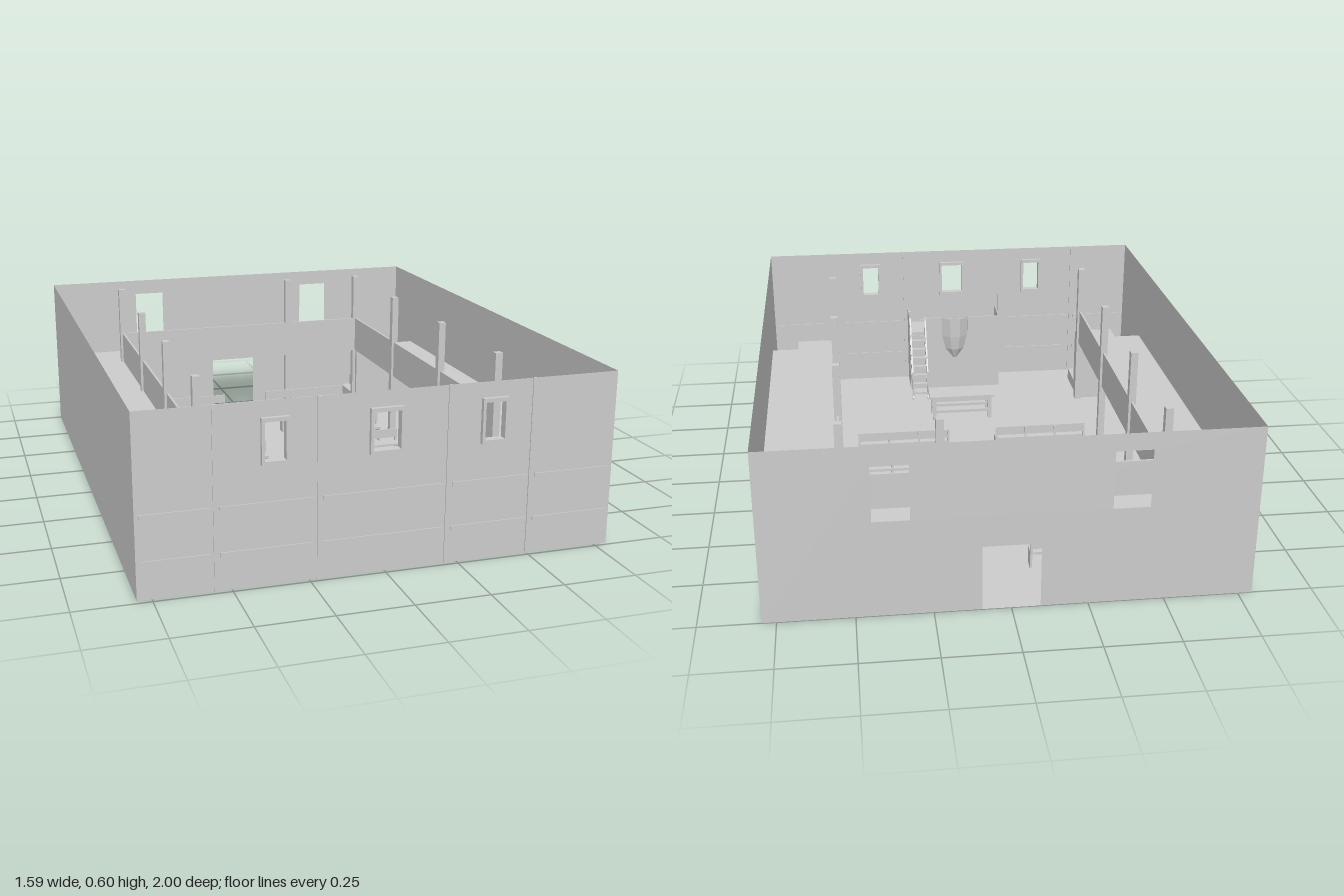
import * as THREE from 'three';

export function createModel() {
  const model = new THREE.Group();
  const mat = new THREE.MeshStandardMaterial({ color: 0xcccccc, flatShading: true, side: THREE.DoubleSide });

  const add = (name, geo, parent = model) => {
    const m = new THREE.Mesh(geo, mat);
    m.name = name;
    parent.add(m);
    return m;
  };
  // box given by its limits on each axis
  const box = (name, x0, x1, y0, y1, z0, z1, parent = model) => {
    const g = new THREE.BoxGeometry(Math.abs(x1 - x0), y1 - y0, z1 - z0);
    g.translate((x0 + x1) / 2, (y0 + y1) / 2, (z0 + z1) / 2);
    return add(name, g, parent);
  };
  const group = (name) => {
    const g = new THREE.Group();
    g.name = name;
    model.add(g);
    return g;
  };
  const rect = (T, x0, x1, y0, y1) =>
    new T([[x0, y0], [x1, y0], [x1, y1], [x0, y1]].map(([x, y]) => new THREE.Vector2(x, y)));

  const H = 0.6, FRONT = 0.985, BACK = -1, W = 0.797;

  // floor and plain side walls
  const floor = new THREE.PlaneGeometry(2 * W, FRONT - BACK).rotateX(-Math.PI / 2);
  add('floor', floor.translate(0, 0, (FRONT + BACK) / 2));
  for (const s of [-1, 1]) {
    const wall = new THREE.PlaneGeometry(FRONT - BACK, H).rotateY(s * Math.PI / 2);
    add('sideWall', wall.translate(s * W, H / 2, (FRONT + BACK) / 2));
  }

  // back wall with two windows and a doorway, which is cut into the outline
  const backShape = new THREE.Shape([
    [-W, 0], [-0.095, 0], [-0.095, 0.23], [0.095, 0.23], [0.095, 0], [W, 0], [W, H], [-W, H],
  ].map(([x, y]) => new THREE.Vector2(x, y)));
  for (const s of [-1, 1]) backShape.holes.push(rect(THREE.Path, s * 0.38 - 0.06, s * 0.38 + 0.06, 0.34, 0.54));
  add('backWall', new THREE.ShapeGeometry(backShape).translate(0, 0, BACK));

  // front wall with three framed windows
  const frontShape = rect(THREE.Shape, -W, W, 0, H);
  const windows = [[-0.362, 0.034], [-0.002, 0.045], [0.362, 0.034]];
  for (const [x, w] of windows) {
    frontShape.holes.push(rect(THREE.Path, x - w, x + w, 0.41, 0.535));
    const frame = rect(THREE.Shape, x - w - 0.01, x + w + 0.01, 0.398, 0.548);
    frame.holes.push(rect(THREE.Path, x - w, x + w, 0.41, 0.535));
    add('windowFrame', new THREE.ExtrudeGeometry(frame, { depth: 0.03, bevelEnabled: false }).translate(0, 0, 0.97));
  }
  add('frontWall', new THREE.ShapeGeometry(frontShape).translate(0, 0, FRONT));

  // thin timber strips on both faces of the front wall
  const seams = [-W, -0.55, -0.22, 0.21, 0.5, W];
  for (let i = 0; i < 5; i++) {
    if (i) box('wallStud', seams[i] - 0.006, seams[i] + 0.006, 0, H, FRONT - 0.004, FRONT + 0.004);
    for (const y of [0.12, 0.27])
      box('wallRail', seams[i] + 0.015, seams[i + 1] - 0.015, y - 0.007, y + 0.007, FRONT - 0.004, FRONT + 0.004);
  }

  // gallery floor along the sides and back, open above the stairs
  const half = [[0.53, -0.81], [0.53, 0.745], [0.69, 0.745], [0.69, 0.65], [W, 0.65], [W, -0.8],
    [0.69, -0.8], [0.69, -0.87], [0.645, -0.87], [0.645, BACK]];
  const outline = [...half, ...half.map(([x, z]) => [-x, z]).reverse()];
  const galleryShape = new THREE.Shape(outline.map(([x, z]) => new THREE.Vector2(x, z)));
  const gallery = new THREE.ExtrudeGeometry(galleryShape, { depth: 0.025, bevelEnabled: false });
  add('galleryFloor', gallery.rotateX(Math.PI / 2).translate(0, 0.285, 0));

  // gallery parapet and posts
  box('backParapet', -0.53, 0.53, 0.265, 0.41, -0.814, -0.806);
  for (const s of [-1, 1]) {
    box('sideParapet', s * 0.526, s * 0.534, 0.265, 0.41, -0.814, 0.65);
    for (const z of [-0.82, -0.33, 0.16, 0.65])
      box('galleryPost', s * 0.53 - 0.013, s * 0.53 + 0.013, 0, H, z - 0.013, z + 0.013);
  }
  box('galleryPost', 0.197, 0.223, 0, H, -0.833, -0.807);

  // four corner stairs: a flight to the wall, a landing, then a flight to the gallery
  const cornerStair = (s, z0, z1, dir) => {
    const g = group('cornerStair');
    const rise = 0.0475;
    for (let i = 0; i < 3; i++)
      box('lowerStep', s * (0.53 + 0.04 * i), s * (0.57 + 0.04 * i), 0, rise * (i + 1), z0, z1, g);
    box('landing', s * 0.65, s * W, 0, rise * 4, z0, z1, g);
    const start = dir < 0 ? z0 : z1, run = dir < 0 ? 0.032 : 0.024;
    for (let i = 0; i < 3; i++) {
      const a = start + dir * run * i, b = a + dir * run;
      box('upperStep', s * 0.69, s * W, 0, 0.19 + 0.024 * (i + 1), Math.min(a, b), Math.max(a, b), g);
    }
    const end = start + dir * (dir < 0 ? 0.095 : 0.08);
    box('stairCupboard', s * 0.53, s * 0.69, 0, 0.27, Math.min(start, end), Math.max(start, end), g);
  };
  for (const s of [-1, 1]) {
    cornerStair(s, 0.745, 0.88, -1);
    cornerStair(s, BACK + 0.001, -0.87, 1);
  }

  // two columns of five benches
  for (const x0 of [-0.46, 0.092]) {
    for (let r = 0; r < 5; r++) {
      const g = group('bench');
      const z = -0.77 + 0.2275 * r, x1 = x0 + 0.364;
      box('benchSeat', x0, x1, 0.053, 0.062, z, z + 0.05, g);
      box('benchBack', x0, x1, 0.075, 0.11, z, z + 0.006, g);
      for (let i = 0; i < 4; i++) {
        const x = x0 + 0.004 + i * 0.1187;
        box('benchLeg', x - 0.004, x + 0.004, 0, 0.053, z + 0.004, z + 0.046, g);
        box('benchUpright', x - 0.004, x + 0.004, 0.055, 0.105, z - 0.003, z + 0.004, g);
      }
    }
  }

  // table with legs and stretchers
  const table = group('table');
  box('tableTop', -0.135, 0.142, 0.1, 0.11, 0.47, 0.573, table);
  for (const z of [0.487, 0.556]) {
    for (const x of [-0.115, 0.122]) box('tableLeg', x - 0.007, x + 0.007, 0, 0.1, z - 0.007, z + 0.007, table);
    box('tableStretcher', -0.115, 0.122, 0.03, 0.042, z - 0.004, z + 0.004, table);
    box('tableApron', -0.115, 0.122, 0.082, 0.1, z - 0.004, z + 0.004, table);
  }
  for (const x of [-0.115, 0.122]) box('tableStretcher', x - 0.004, x + 0.004, 0.03, 0.042, 0.487, 0.556, table);

  // pulpit platform with its front panels and side panels
  const pulpit = group('pulpit');
  box('platform', -0.2, 0.2, 0.255, 0.27, 0.842, FRONT, pulpit);
  box('panelRight', -0.2, -0.058, 0, 0.335, 0.838, 0.844, pulpit);
  box('panelMiddle', -0.058, 0.055, 0, 0.255, 0.838, 0.844, pulpit);
  box('panelLeft', 0.055, 0.13, 0, 0.335, 0.838, 0.844, pulpit);
  box('panelBelowStair', 0.13, 0.2, 0, 0.255, 0.838, 0.844, pulpit);
  for (const x of [-0.2, 0.197]) box('sidePanel', x, x + 0.003, 0, 0.335, 0.842, FRONT, pulpit);

  // tapering half-hexagon bay: rings of four points from top to bottom
  const pos = [], idx = [];
  [[0.335, 1], [0.25, 0.95], [0.19, 0.7], [0.145, 0.1]].forEach(([y, k], r) => {
    [[-0.058, 0], [-0.022, 0.028], [0.022, 0.028], [0.058, 0]].forEach(([x, d], c) => {
      pos.push(x * k, y, 0.838 - d * k);
      if (r < 3 && c < 3) {
        const a = r * 4 + c;
        idx.push(a, a + 1, a + 4, a + 1, a + 5, a + 4);
      }
    });
  });
  const bay = new THREE.BufferGeometry();
  bay.setAttribute('position', new THREE.Float32BufferAttribute(pos, 3));
  bay.setIndex(idx);
  bay.computeVertexNormals();
  add('pulpitBay', bay, pulpit);

  // steep pulpit stair with balusters and sloping rails
  const N = 7, run = 0.13 / N, rise = 0.27 / (N + 1);
  for (let i = 0; i < N; i++) {
    const z = 0.71 + run * i, y = rise * (i + 1);
    box('pulpitStep', 0.13, 0.2, y - 0.008, y, z, z + run, pulpit);
    for (const x of [0.132, 0.198])
      box('baluster', x - 0.002, x + 0.002, y, y + 0.085, z + run / 2 - 0.002, z + run / 2 + 0.002, pulpit);
  }
  const slope = Math.atan2(0.27 - rise, 0.13);
  for (const x of [0.132, 0.198]) {
    for (const [name, y, t] of [['handrail', 0.222, 0.008], ['stringer', 0.122, 0.022]]) {
      const bar = add(name, new THREE.BoxGeometry(0.006, t, 0.265), pulpit);
      bar.position.set(x, y, 0.775);
      bar.rotation.x = -slope;
    }
    box('newelPost', x - 0.004, x + 0.004, 0, 0.13, 0.706, 0.714, pulpit);
    box('newelPost', x - 0.004, x + 0.004, 0.25, 0.37, 0.836, 0.844, pulpit);
  }

  return model;
}
